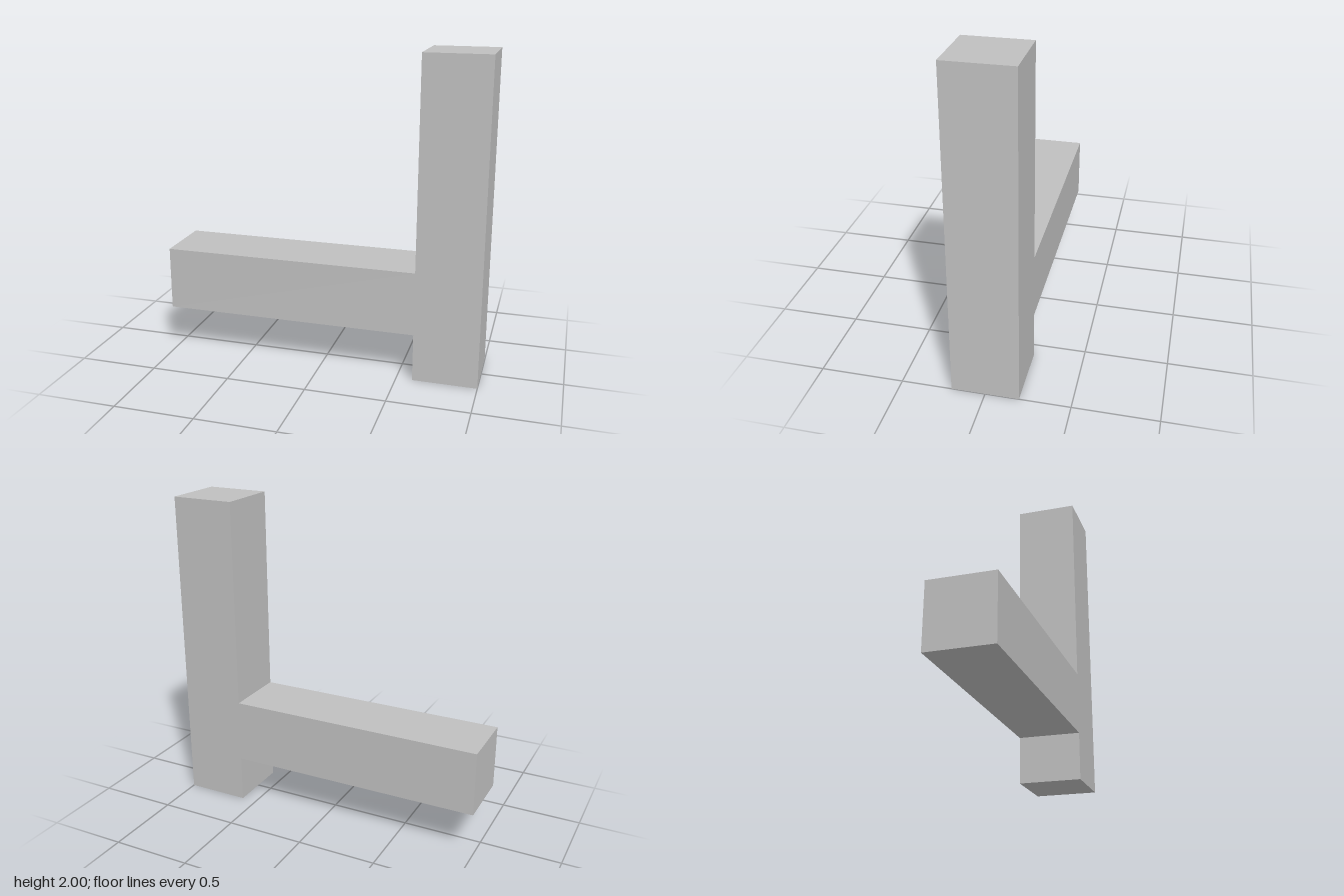
import * as THREE from 'three';

export function createModel() {
  const group = new THREE.Group();
  group.name = 'postWithArm';

  const lightGrey = new THREE.MeshStandardMaterial({ color: 0xbfbfbf });
  lightGrey.name = 'lightGrey';

  // Outline of the upright post with its side arm, as one solid
  const outline = new THREE.Shape([
    [0.6, 0], [1, 0], [1, 2], [0.6, 2],
    [0.6, 0.7], [-1, 0.7], [-1, 0.3], [0.6, 0.3],
  ].map(([x, y]) => new THREE.Vector2(x, y)));

  const depth = 0.4;
  const geometry = new THREE.ExtrudeGeometry(outline, { depth, bevelEnabled: false });
  geometry.translate(0, 0, -depth / 2);

  const body = new THREE.Mesh(geometry, lightGrey);
  body.name = 'postAndArm';
  group.add(body);

  return group;
}
